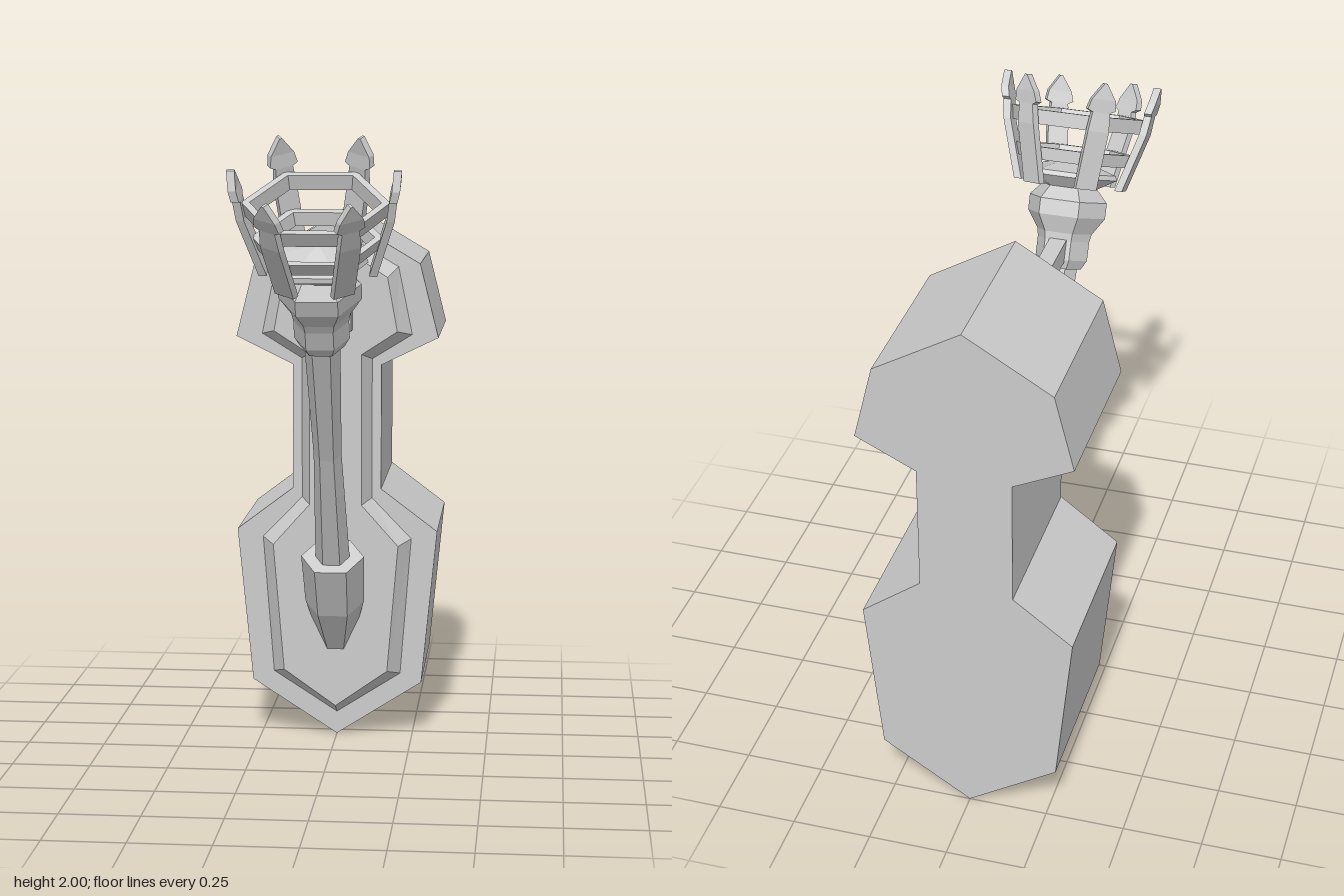
import * as THREE from 'three';

const material = new THREE.MeshStandardMaterial({ color: 0xcccccc, flatShading: true });

function add(parent, name, geometry) {
  const mesh = new THREE.Mesh(geometry, material);
  mesh.name = name;
  parent.add(mesh);
  return mesh;
}

// Full outline from its right half, running bottom to top on the centre line
function mirrored(half) {
  const left = half.slice(1, -1).reverse().map(([x, y]) => [-x, y]);
  return [...half, ...left].map(([x, y]) => new THREE.Vector2(x, y));
}

// Slab from z0 to z1 whose front outline may differ from its back one
function slab(backHalf, frontHalf, z0, z1) {
  const back = mirrored(backHalf), front = mirrored(frontHalf);
  const geo = new THREE.ExtrudeGeometry(new THREE.Shape(back), { depth: z1 - z0, bevelEnabled: false });
  const p = geo.attributes.position;
  for (let i = 0; i < p.count; i++) {
    if (p.getZ(i) < (z1 - z0) / 2) continue;
    const k = back.findIndex(v => Math.hypot(v.x - p.getX(i), v.y - p.getY(i)) < 1e-4);
    p.setXY(i, front[k].x, front[k].y);
  }
  geo.translate(0, 0, z0);
  geo.computeVertexNormals();
  return geo;
}

// Six-sided turned part with corners on the x axis; profile is [radius, height]
function hexLathe(profile) {
  return new THREE.LatheGeometry(profile.map(([r, y]) => new THREE.Vector2(r, y)), 6, Math.PI / 2);
}

function hexRing(r0, y0, r1, y1, thick) {
  return hexLathe([[r0, y0], [r1, y1], [r1 - thick, y1], [r0 - thick, y0], [r0, y0]]);
}

// Cage prong with a spear tip; rows are [height, radius, half width]
function prongGeometry() {
  const rows = [[1.065, 0.165, 0.034], [1.25, 0.222, 0.034], [1.31, 0.23, 0.028],
    [1.318, 0.232, 0.045], [1.35, 0.24, 0.038], [1.4, 0.245, 0.004]];
  const n = rows.length - 1;
  const geo = new THREE.BoxGeometry(1, 1, 1, 1, n, 1);
  const p = geo.attributes.position;
  for (let i = 0; i < p.count; i++) {
    const [y, r, w] = rows[Math.round((p.getY(i) + 0.5) * n)];
    p.setXYZ(i, p.getX(i) * 2 * w, y, r + p.getZ(i) * 0.024);
  }
  geo.computeVertexNormals();
  return geo;
}

export function createModel() {
  const model = new THREE.Group();
  model.name = 'wallTorch';

  // Deep wall block
  const block = [[0, 0], [0.28, 0.18], [0.33, 0.69], [0.145, 0.83],
    [0.145, 1.24], [0.33, 1.33], [0.27, 1.57], [0, 1.73]];
  add(model, 'wallBlock', slab(block, block, -0.75, -0.205));

  // Raised mounting plate with sloped sides
  const plateBack = [[0, 0.075], [0.21, 0.21], [0.245, 0.665], [0.115, 0.8],
    [0.115, 1.26], [0.245, 1.34], [0.2, 1.56], [0, 1.68]];
  const plateFront = [[0, 0.11], [0.17, 0.23], [0.205, 0.65], [0.085, 0.785],
    [0.085, 1.28], [0.2, 1.355], [0.168, 1.53], [0, 1.64]];
  add(model, 'mountingPlate', slab(plateBack, plateFront, -0.205, -0.145));

  // Upper bracket and arm
  add(model, 'bracket', new THREE.BoxGeometry(0.11, 0.16, 0.06)).position.set(0, 1.44, -0.117);
  add(model, 'arm', new THREE.BoxGeometry(0.055, 0.066, 0.42)).position.set(0, 1.442, 0.11);

  // Leaning torch
  const torch = new THREE.Group();
  torch.name = 'torch';
  torch.position.set(0, 0.635, -0.04);
  torch.rotation.x = 0.441;
  model.add(torch);

  add(torch, 'socket', hexLathe([[0, -0.37], [0.05, -0.36], [0.096, -0.18], [0.102, 0], [0, 0]]));
  add(torch, 'shaft', hexLathe([[0.056, -0.02], [0.044, 0.4], [0.056, 0.82]]));
  add(torch, 'collar', hexLathe([[0, 0.8], [0.068, 0.8], [0.085, 0.83], [0.085, 0.89],
    [0.09, 0.915], [0.127, 0.97], [0.127, 1.02], [0.09, 1.06]]));
  add(torch, 'dish', hexLathe([[0.09, 1.06], [0.15, 1.095], [0.145, 1.11], [0, 1.155]]));

  // Cage rings and prongs
  add(torch, 'lowerRing', hexRing(0.183, 1.14, 0.196, 1.18, 0.025));
  add(torch, 'upperRing', hexRing(0.212, 1.25, 0.22, 1.295, 0.025));
  const prong = prongGeometry();
  for (let i = 0; i < 6; i++) {
    add(torch, 'prong', prong).rotation.y = Math.PI / 2 + i * Math.PI / 3;
  }
  return model;
}
